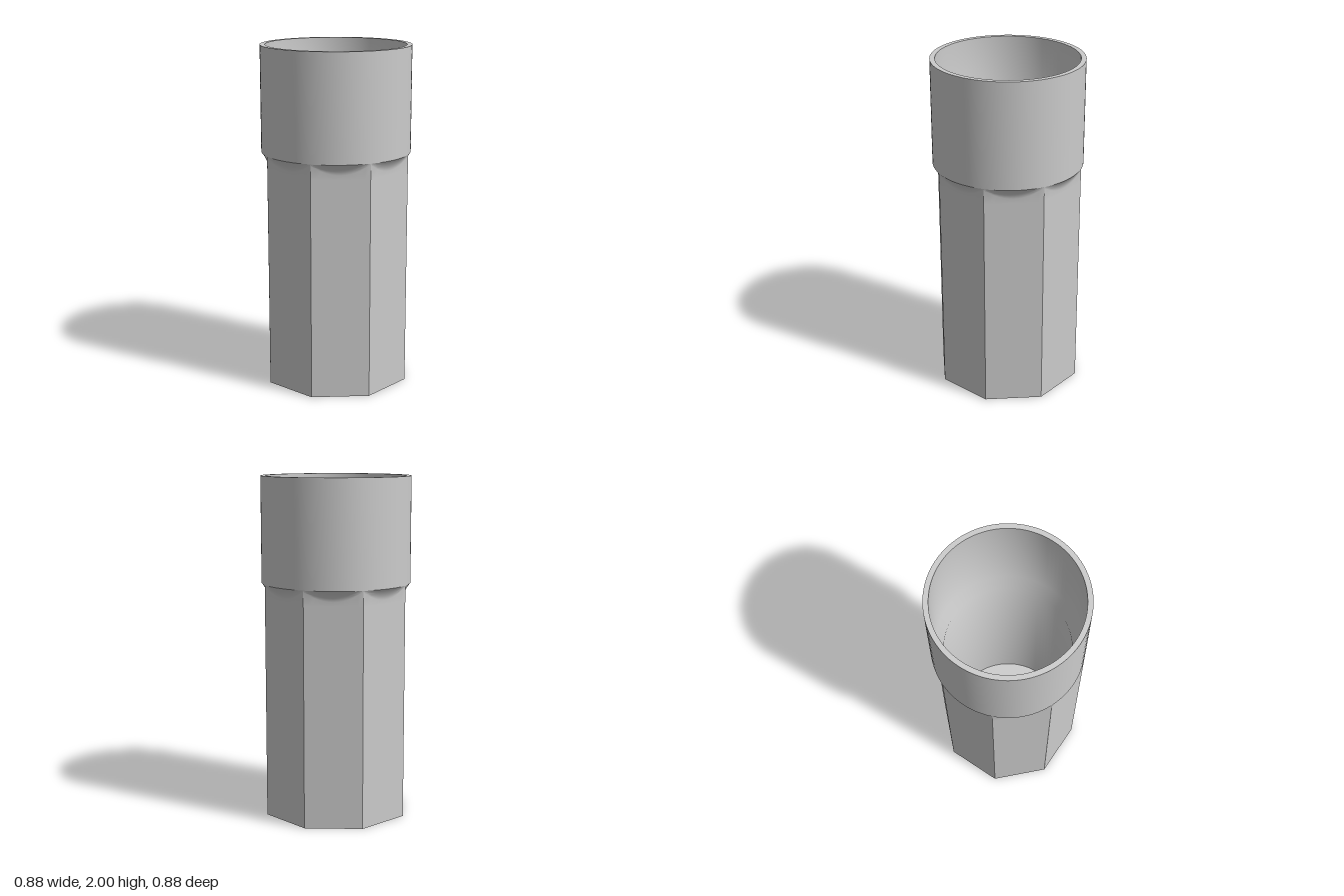
import * as THREE from 'three';
import { toCreasedNormals } from 'three/addons/utils/BufferGeometryUtils.js';

const SEG = 96;                                  // divisible by 8 so samples hit the corners
const R = 0.4375;                                // collar radius = octagon corner radius
const APOTHEM = R * Math.cos(Math.PI / 8);
const NECK = 1.38;                               // underside of the collar

// Radius of the octagon in direction a (flats face the axes)
function octagonRadius(a) {
  const step = Math.PI / 4;
  return APOTHEM / Math.cos(a - Math.round(a / step) * step);
}

// Skin between rings; each ring is a function angle -> [radius, y], listed bottom to top
function loft(rings) {
  const pos = [], index = [];
  for (const ring of rings) {
    for (let i = 0; i <= SEG; i++) {
      const a = (i / SEG) * Math.PI * 2;
      const [r, y] = ring(a);
      pos.push(r * Math.sin(a), y, r * Math.cos(a));
    }
  }
  const n = SEG + 1;
  for (let j = 0; j < rings.length - 1; j++) {
    for (let i = 0; i < SEG; i++) {
      const p = j * n + i, q = p + n;
      index.push(p, p + 1, q + 1, p, q + 1, q);
    }
  }
  const geo = new THREE.BufferGeometry();
  geo.setAttribute('position', new THREE.Float32BufferAttribute(pos, 3));
  geo.setIndex(index);
  return geo;
}

export function createModel() {
  const group = new THREE.Group();
  const material = new THREE.MeshStandardMaterial({ color: 0xcccccc });
  const add = (geometry, name) => {
    const mesh = new THREE.Mesh(geometry, material);
    mesh.name = name;
    group.add(mesh);
  };

  // Octagonal handle with closed base, flaring in scallops out to the round collar
  const rings = [
    () => [0, 0],
    (a) => [octagonRadius(a), 0],
    (a) => [octagonRadius(a), 1.29],
  ];
  const STEPS = 6;
  for (let k = 0; k <= STEPS; k++) {
    const t = k / STEPS;
    rings.push((a) => {
      const oct = octagonRadius(a), gap = R - oct;
      const start = NECK - 0.01 - 0.055 * gap / (R - APOTHEM);
      return [oct + gap * t ** 1.7, start + (NECK - start) * t];
    });
  }
  add(toCreasedNormals(loft(rings), 0.5), 'handle');

  // Round collar, rim and the hollow inside, which narrows at the neck
  const profile = [
    [R, NECK], [R, 2], [0.408, 2], [0.408, 1.4], [0.365, 1.33], [0.365, 0.06], [0, 0.06],
  ].map(([x, y]) => new THREE.Vector2(x, y));
  add(toCreasedNormals(new THREE.LatheGeometry(profile, SEG), 0.7), 'collarAndCavity');

  return group;
}
